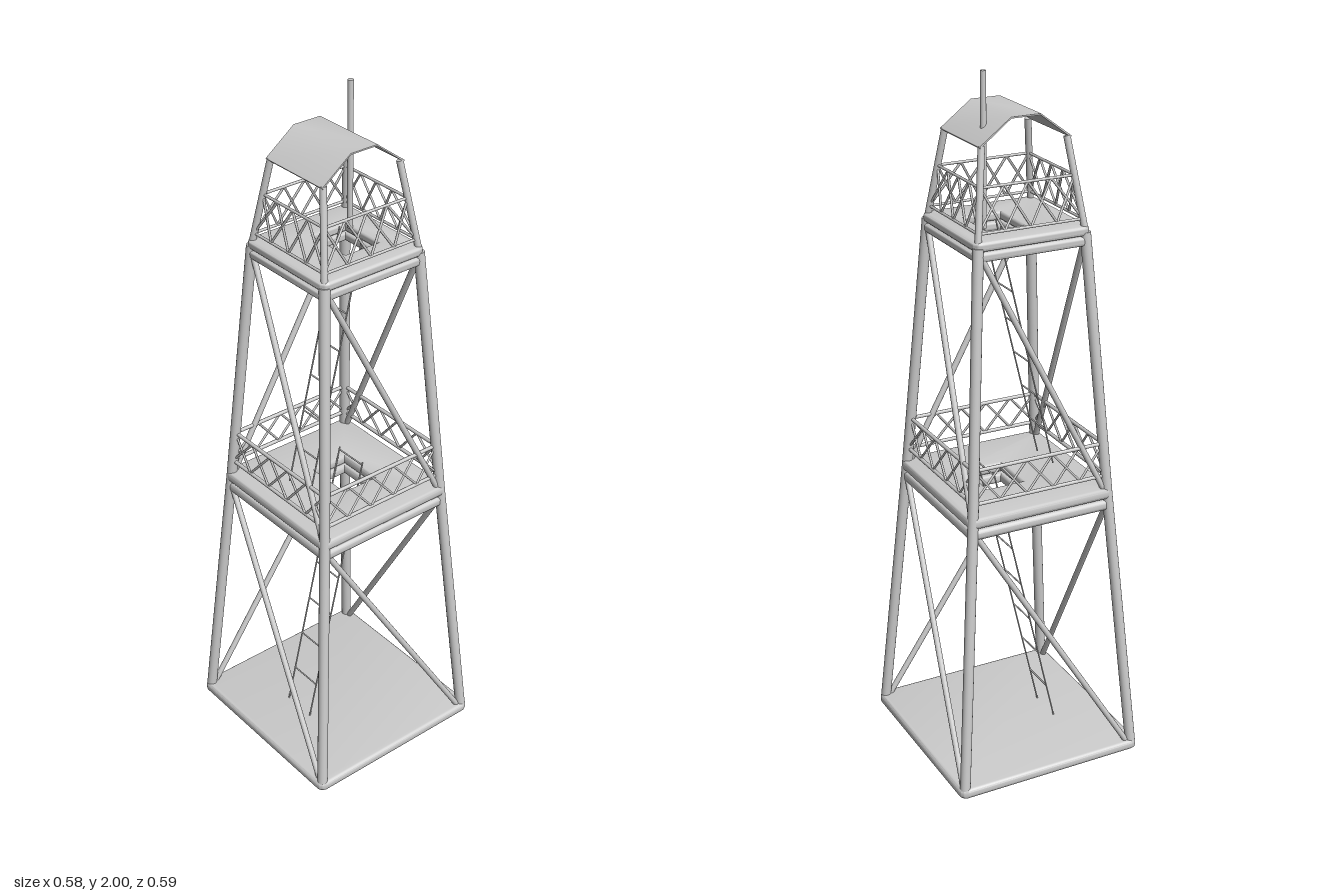
import * as THREE from 'three';
import { toCreasedNormals } from 'three/addons/utils/BufferGeometryUtils.js';

const material = new THREE.MeshStandardMaterial({ color: 0xcccccc });

// Half width (x) and half depth (z) of the leg frame by height
const frame = [
  [0.015, 0.272, 0.278],
  [0.82, 0.209, 0.214],
  [1.57, 0.158, 0.153],
  [1.822, 0.124, 0.107],
];

// Corner order runs round the tower: two at the back, then two at the front
const signs = [[-1, -1], [1, -1], [1, 1], [-1, 1]];

function corner(i, y) {
  let k = 0;
  while (k < frame.length - 2 && y > frame[k + 1][0]) k++;
  const [y0, x0, z0] = frame[k];
  const [y1, x1, z1] = frame[k + 1];
  const t = (y - y0) / (y1 - y0);
  const [sx, sz] = signs[i % 4];
  return new THREE.Vector3(sx * (x0 + (x1 - x0) * t), y, sz * (z0 + (z1 - z0) * t));
}

// Point on side i at fraction t between its two corners
const onSide = (i, y, t) => corner(i, y).lerp(corner(i + 1, y), t);

function add(parent, name, geometry) {
  const mesh = new THREE.Mesh(geometry, material);
  mesh.name = name;
  parent.add(mesh);
  return mesh;
}

// Round bar between two points
function bar(parent, name, a, b, radius, sides = 12) {
  const mesh = add(parent, name, new THREE.CylinderGeometry(radius, radius, a.distanceTo(b), sides));
  mesh.position.copy(a).lerp(b, 0.5);
  mesh.quaternion.setFromUnitVectors(new THREE.Vector3(0, 1, 0), b.clone().sub(a).normalize());
}

function group(parent, name) {
  const g = new THREE.Group();
  g.name = name;
  parent.add(g);
  return g;
}

// Solid slab with rounded corners and edges, and an optional ladder hatch
function slab(parent, name, y0, y1, hx, hz, hatch) {
  const r = 0.022, bevel = 0.009;
  const shape = new THREE.Shape();
  shape.absarc(hx - r, hz - r, r, 0, Math.PI / 2);
  shape.absarc(r - hx, hz - r, r, Math.PI / 2, Math.PI);
  shape.absarc(r - hx, r - hz, r, Math.PI, Math.PI * 1.5);
  shape.absarc(hx - r, r - hz, r, Math.PI * 1.5, Math.PI * 2);
  shape.closePath();
  if (hatch) {
    const { x0, x1, z } = hatch;
    shape.holes.push(new THREE.Path([[x0, -z], [x0, z], [x1, z], [x1, -z]].map(([a, b]) => new THREE.Vector2(a, b))));
  }
  const geometry = new THREE.ExtrudeGeometry(shape, {
    depth: y1 - y0 - 2 * bevel, bevelThickness: bevel, bevelSize: bevel, bevelOffset: -bevel, bevelSegments: 3, curveSegments: 5,
  });
  geometry.rotateX(-Math.PI / 2);
  add(parent, name, toCreasedNormals(geometry, 0.7)).position.y = y0 + bevel;
}

// Two rails with crossed lattice bars on every side
function railing(parent, name, y0, y1, bays, railRadius) {
  const g = group(parent, name);
  for (let i = 0; i < 4; i++) {
    for (const y of [y0, y1]) bar(g, 'rail', corner(i, y), corner(i + 1, y), railRadius, 8);
    for (let k = 0; k < bays; k++) {
      const a = k / bays, b = (k + 1) / bays;
      bar(g, 'lattice', onSide(i, y0, a), onSide(i, y1, b), 0.0035, 6);
      bar(g, 'lattice', onSide(i, y1, a), onSide(i, y0, b), 0.0035, 6);
    }
  }
}

// Leaning ladder with evenly spaced rungs
function ladder(parent, name, [x0, y0], [x1, y1], zs, firstRung, step) {
  const g = group(parent, name);
  for (const z of zs) bar(g, 'ladderRail', new THREE.Vector3(x0, y0, z), new THREE.Vector3(x1, y1, z), 0.0023, 8);
  for (let y = firstRung; y < y1; y += step) {
    const x = x0 + ((x1 - x0) * (y - y0)) / (y1 - y0);
    bar(g, 'rung', new THREE.Vector3(x, y, zs[0]), new THREE.Vector3(x, y, zs[1]), 0.0023, 8);
  }
}

export function createModel() {
  const tower = new THREE.Group();
  tower.name = 'watchtower';

  // Corner legs, bending inward at each platform and thinner at the top
  const legs = group(tower, 'legs');
  for (let i = 0; i < 4; i++) {
    for (let k = 0; k < 3; k++) {
      bar(legs, 'leg', corner(i, frame[k][0]), corner(i, frame[k + 1][0]), k < 2 ? 0.015 : 0.0095, 16);
    }
  }

  // One diagonal per side on each storey, winding round the tower
  const braces = group(tower, 'braces');
  for (const [low, high] of [[0.03, 0.78], [0.84, 1.545]]) {
    for (let i = 0; i < 4; i++) bar(braces, 'brace', onSide(i, low, 0.03), onSide(i, high, 0.97), 0.0085);
  }

  // Base slab, and two stacked slabs for each platform
  slab(tower, 'base', 0, 0.03, 0.289, 0.295);
  const hatch = { x0: -0.02, x1: 0.09, z: 0.068 };
  slab(tower, 'middlePlatformLower', 0.773, 0.803, 0.222, 0.227, hatch);
  slab(tower, 'middlePlatformUpper', 0.808, 0.839, 0.224, 0.229, hatch);
  slab(tower, 'topPlatformLower', 1.533, 1.559, 0.171, 0.166, hatch);
  slab(tower, 'topPlatformUpper', 1.561, 1.587, 0.171, 0.166, hatch);

  railing(tower, 'middleRailing', 0.875, 0.97, 5, 0.0055);
  railing(tower, 'topRailing', 1.605, 1.72, 4, 0.004);

  ladder(tower, 'lowerLadder', [-0.13, 0.03], [0.07, 0.88], [-0.065, 0.038], 0.14, 0.122);
  ladder(tower, 'upperLadder', [-0.13, 0.86], [0.05, 1.6], [-0.043, 0.05], 0.97, 0.106);

  // Bent sheet roof resting on the leg tops
  const roofLine = [[-0.134, 1.822], [-0.043, 1.89], [0.043, 1.89], [0.134, 1.822]];
  const outline = [...roofLine, ...roofLine.map(([x, y]) => [x * 0.98, y - 0.004]).reverse()];
  const roof = new THREE.ExtrudeGeometry(
    new THREE.Shape(outline.map(([x, y]) => new THREE.Vector2(x, y))), { depth: 0.23, bevelEnabled: false });
  roof.translate(0, 0, -0.115);
  add(tower, 'roof', toCreasedNormals(roof, 0.9));

  // Mast standing on the top floor
  bar(tower, 'mast', new THREE.Vector3(0.087, 1.585, -0.045), new THREE.Vector3(0.087, 2, -0.045), 0.008, 16);

  return tower;
}
